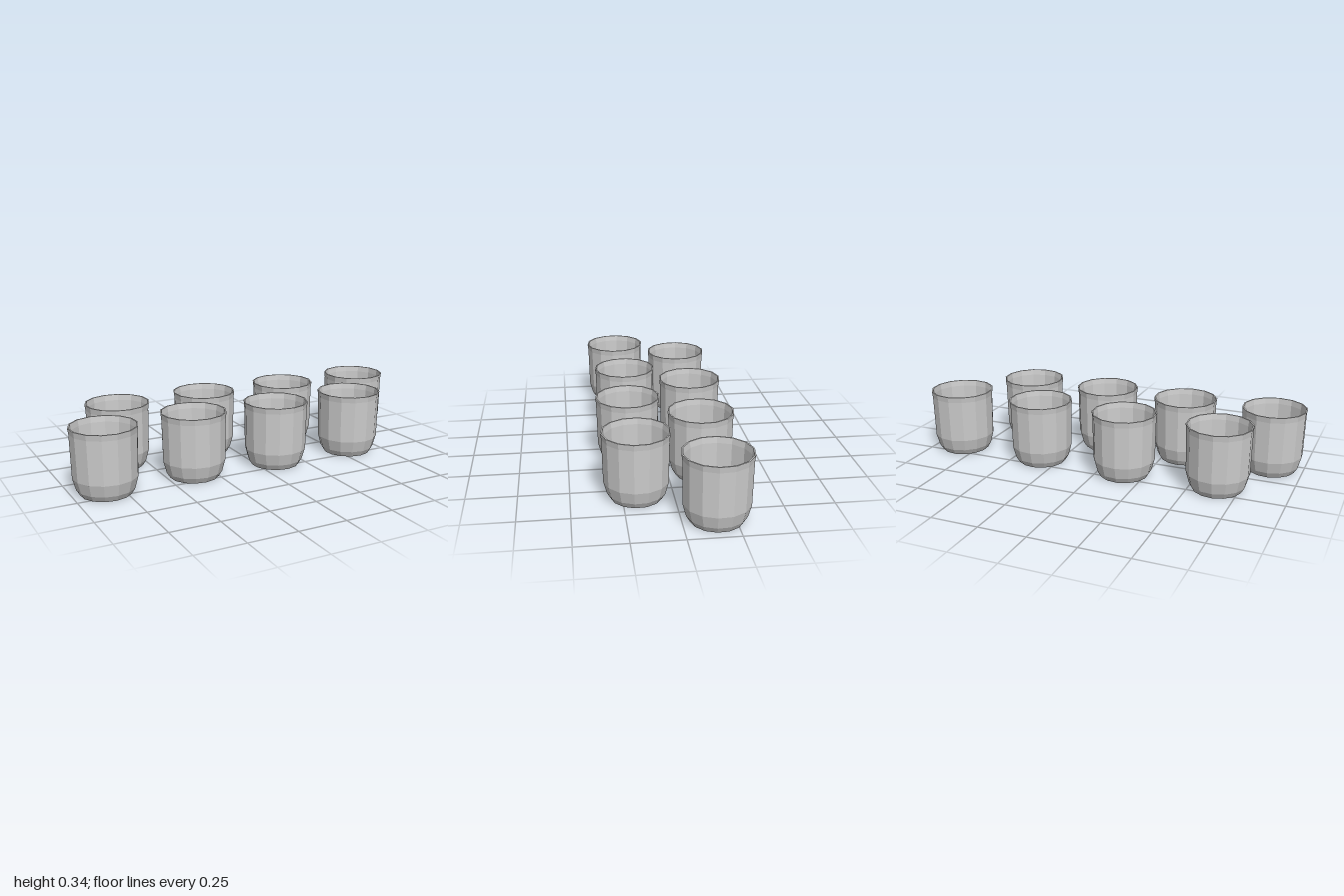
import * as THREE from 'three';

const SIDES = 14;

// Closed wall section: under the base, up the outside, over the rim, down the inside
const PROFILE = [
  [0, 0], [0.126, 0], [0.144, 0.03], [0.16, 0.09], [0.164, 0.31], [0.168, 0.34],
  [0.161, 0.34], [0.157, 0.31], [0.153, 0.092], [0.138, 0.036], [0.12, 0.008], [0, 0.008],
].map(([r, y]) => new THREE.Vector2(r, y));

// Cup centres [x, z]: two loosely staggered rows
const BACK_ROW = [[-0.64, -0.174], [-0.14, -0.182], [0.345, -0.165], [0.831, -0.162]];
const FRONT_ROW = [[-0.834, 0.18], [-0.358, 0.158], [0.103, 0.18], [0.563, 0.18]];

export function createModel() {
  const model = new THREE.Group();
  model.name = 'cups';

  const material = new THREE.MeshStandardMaterial({ color: 0xcccccc, flatShading: true });
  const geometry = new THREE.LatheGeometry(PROFILE, SIDES, THREE.MathUtils.degToRad(81.5));

  const addRow = (name, centres) => {
    const row = new THREE.Group();
    row.name = name;
    centres.forEach(([x, z], i) => {
      const cup = new THREE.Mesh(geometry, material);
      cup.name = `cup${i + 1}`;
      cup.position.set(x, 0, z);
      row.add(cup);
    });
    model.add(row);
  };

  addRow('backRow', BACK_ROW);
  addRow('frontRow', FRONT_ROW);
  return model;
}
